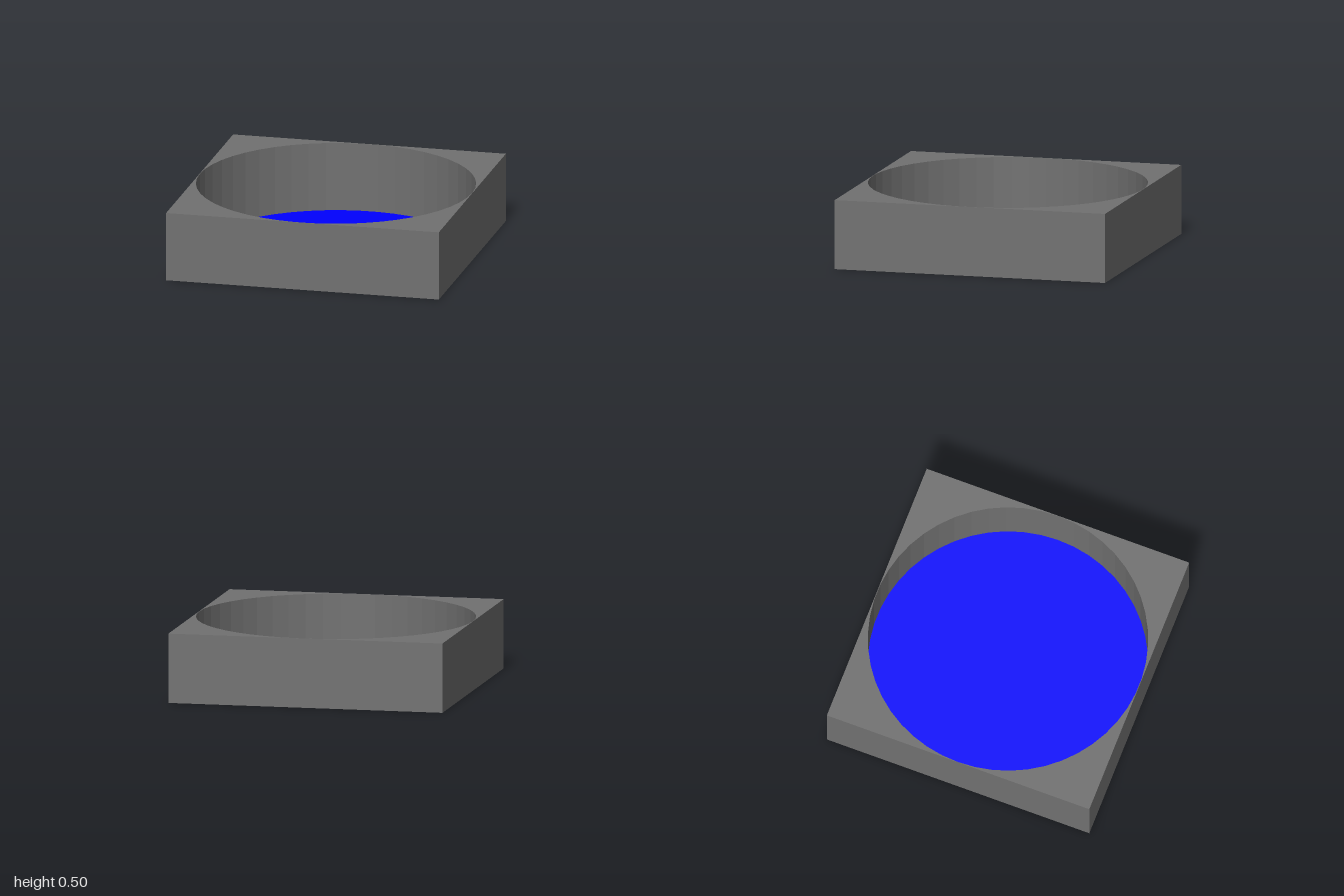
import * as THREE from 'three';

const HALF = 1, HEIGHT = 0.5, RADIUS = 0.998, SEGMENTS = 50;

export function createModel() {
  const group = new THREE.Group();
  group.name = 'roundBasin';

  // Square block with a round hole right through it
  const square = new THREE.Shape([
    new THREE.Vector2(-HALF, -HALF), new THREE.Vector2(HALF, -HALF),
    new THREE.Vector2(HALF, HALF), new THREE.Vector2(-HALF, HALF),
  ]);
  square.holes.push(new THREE.Path().absarc(0, 0, RADIUS, 0, Math.PI * 2, true));
  const blockGeometry = new THREE.ExtrudeGeometry(square, {
    depth: HEIGHT, bevelEnabled: false, curveSegments: SEGMENTS / 2,
  });
  blockGeometry.rotateX(-Math.PI / 2);
  const block = new THREE.Mesh(
    blockGeometry,
    new THREE.MeshStandardMaterial({ color: 0x717171, flatShading: true }),
  );
  block.name = 'block';
  group.add(block);

  // Thin blue floor closing the hole, seen from above and below
  const floor = new THREE.Mesh(
    new THREE.CircleGeometry(RADIUS, SEGMENTS).rotateX(-Math.PI / 2),
    new THREE.MeshStandardMaterial({ color: 0x0000ff, side: THREE.DoubleSide }),
  );
  floor.name = 'floor';
  floor.position.y = 0.001;
  group.add(floor);

  return group;
}
